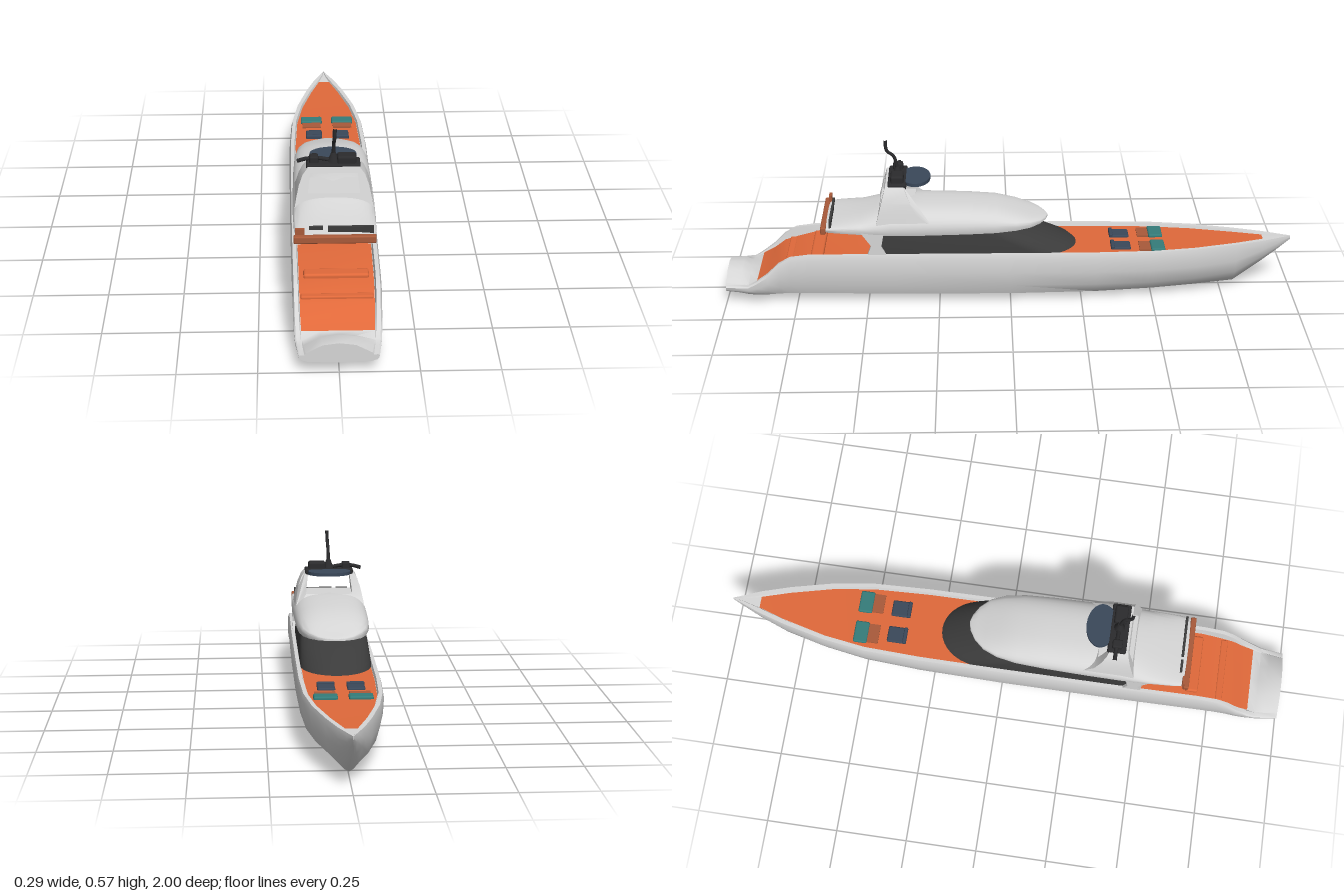
import * as THREE from 'three';
import { toCreasedNormals } from 'three/addons/utils/BufferGeometryUtils.js';
import { RoundedBoxGeometry } from 'three/addons/geometries/RoundedBoxGeometry.js';

const mat = (name, color, side = THREE.FrontSide) => {
  const m = new THREE.MeshStandardMaterial({ color, side });
  m.name = name;
  return m;
};
const lerp = THREE.MathUtils.lerp;
const vectors = points => points.map(p => new THREE.Vector2(...p));

// Skin a list of rings [[x,y,z],...]; rings run counter-clockwise seen from the first ring's side
function loft(rings, closed = true) {
  const n = rings[0].length, pos = rings.flat(2), idx = [];
  const last = closed ? n : n - 1;
  for (let i = 0; i < rings.length - 1; i++) {
    for (let j = 0; j < last; j++) {
      const k = (j + 1) % n, a = i * n, b = a + n;
      idx.push(a + j, b + j, a + k, b + j, b + k, a + k);
    }
  }
  if (closed) {
    [0, rings.length - 1].forEach((r, end) => {
      const c = pos.length / 3;
      for (let d = 0; d < 3; d++) pos.push(rings[r].reduce((s, p) => s + p[d], 0) / n);
      for (let j = 0; j < n; j++) {
        const p = r * n + j, q = r * n + (j + 1) % n;
        idx.push(c, end ? q : p, end ? p : q);
      }
    });
  }
  const g = new THREE.BufferGeometry();
  g.setAttribute('position', new THREE.Float32BufferAttribute(pos, 3));
  g.setIndex(idx);
  return toCreasedNormals(g, .7);
}

// Hull stations: z, half width, keel, sheer, deck, deck crown, chine width
const stations = [
  [1, .125, .035, .062, .068, .035, .8], [.95, .131, .03, .064, .068, .035, .84],
  [.92, .135, .025, .066, .066, .02, .86], [.89, .138, .021, .085, .08, 0, .87],
  [.85, .14, .018, .115, .1, 0, .87], [.81, .141, .016, .155, .13, 0, .87],
  [.77, .142, .014, .178, .142, 0, .87], [.7, .143, .012, .187, .16, 0, .87],
  [.4, .145, .007, .187, .17, 0, .87], [0, .145, .002, .186, .172, 0, .85],
  [-.3, .143, 0, .185, .172, 0, .76], [-.5, .135, 0, .185, .172, 0, .64],
  [-.65, .113, .002, .185, .173, 0, .5], [-.8, .075, .012, .185, .175, 0, .36],
  [-.9, .043, .088, .185, .178, 0, .36], [-.96, .018, .137, .185, .181, 0, .4],
  [-1, .001, .172, .185, .184, 0, .5]];
const innerWidth = w => Math.max(w - .022, w * .3);

function hullRing([z, w, b, s, d, crown, c]) {
  const h = s - b, iw = innerWidth(w);
  const half = [
    [c * w * .55, b + .05 * h], [c * w, b + .14 * h], [w * lerp(c, 1, .7), b + .35 * h],
    [w * lerp(c, 1, .92), b + .62 * h], [w * .995, s - .1 * h], [w * .96, s],
    [lerp(iw, w, .15), s], [iw, d], [iw * .5, d + crown * .8]];
  const left = half.map(([x, y]) => [x, y, z]);
  const right = half.map(([x, y]) => [-x, y, z]).reverse();
  return [[0, b, z], ...left, [0, d + crown, z], ...right];
}

// Plan outline with a rounded front and square rear
function cabinRing(y, hw, front, rear, length) {
  const ring = [];
  for (let i = 0; i <= 20; i++) {
    const t = Math.PI * (1 + i / 20);
    ring.push([hw * Math.cos(t), y, front + length * (1 + Math.sin(t))]);
  }
  ring.push([hw, y, rear], [-hw, y, rear]);
  return ring;
}

// Flat-bottomed dome section
function roofRing([z, hw, yb, yt]) {
  const lip = Math.min(.014, (yt - yb) * .5), ring = [[-hw * .97, yb, z], [hw * .97, yb, z]];
  for (let i = 0; i <= 18; i++) {
    const t = Math.PI * i / 18, c = Math.cos(t), s = Math.max(0, Math.sin(t));
    ring.push([hw * Math.sign(c) * Math.abs(c) ** .75, yb + lip + (yt - yb - lip) * s ** .8, z]);
  }
  return ring;
}

export function createModel() {
  const white = mat('hullWhite', 0xd6d6d6), orange = mat('deckOrange', 0xe0693a, THREE.DoubleSide);
  const glass = mat('darkGlass', 0x3b3b3b), black = mat('mastBlack', 0x2b2b2d);
  const navy = mat('navy', 0x3a485a), teal = mat('teal', 0x357c7a), brown = mat('brown', 0xa85a3a);

  const yacht = new THREE.Group();
  yacht.name = 'yacht';
  const add = (name, geo, m) => {
    const mesh = new THREE.Mesh(geo, m);
    mesh.name = name;
    yacht.add(mesh);
  };
  // Box given by its minimum and maximum corners
  const box = (name, [x0, y0, z0], [x1, y1, z1], m, round = 0) => {
    const s = [x1 - x0, y1 - y0, z1 - z0];
    const g = round ? new RoundedBoxGeometry(...s, 2, round) : new THREE.BoxGeometry(...s);
    add(name, g.translate((x0 + x1) / 2, (y0 + y1) / 2, (z0 + z1) / 2), m);
  };

  // Hull with stern platform, and the deck covering
  add('hull', loft(stations.map(hullRing)), white);
  const deck = stations.slice(3, 15).map(([z, w, , , d]) => {
    const x = innerWidth(w) * .99;
    return [[x, d + .002, z], [-x, d + .002, z]];
  });
  add('deck', loft(deck, false), orange);
  box('aftBench', [-.105, .14, .655], [.105, .176, .7], orange, .008);
  box('deckStep', [-.115, .12, .765], [.115, .147, .79], orange, .005);

  // Glazed cabin
  add('cabinGlass', loft([
    cabinRing(.165, .124, -.245, .44, .15), cabinRing(.19, .124, -.215, .445, .15),
    cabinRing(.235, .12, -.1, .455, .13), cabinRing(.275, .114, 0, .46, .1)]), glass);
  for (const s of [-1, 1]) {
    const fin = new THREE.Shape(vectors(
      [[-.5, .18], [-.43, .18], [-.45, .215], [-.44, .27], [-.52, .27], [-.485, .22]]));
    const g = new THREE.ExtrudeGeometry(fin, { depth: .022, bevelEnabled: false });
    g.rotateY(Math.PI / 2).translate(s * .122 - .011, 0, 0);
    add('cabinFin', g, white);
  }

  // Domed roof
  add('roof', loft([
    [.65, .127, .271, .288], [.6, .132, .268, .296], [.52, .135, .263, .308], [.47, .136, .26, .326],
    [.42, .136, .258, .341], [.3, .135, .258, .345], [.15, .132, .26, .34], [.05, .127, .262, .332],
    [-.02, .115, .265, .314], [-.07, .094, .267, .297], [-.105, .063, .269, .286],
    [-.125, .03, .271, .281], [-.132, .005, .273, .278]].map(roofRing)), white);

  // Trim and screens on the aft roof edge
  box('aftTrim', [-.135, .264, .64], [.13, .29, .66], brown, .005);
  box('aftScreen', [-.025, .282, .622], [.122, .311, .63], glass);
  box('aftScreenSmall', [-.085, .3, .622], [-.04, .311, .63], glass);
  box('aftPost', [-.13, .285, .635], [-.1, .31, .645], brown);

  // Mast arch, raked fore and aft by height
  const arch = new THREE.Shape(vectors([[-.131, .29], [.131, .29], [.124, .33], [.115, .37], [.102, .405],
    [.086, .425], [-.086, .425], [-.102, .405], [-.115, .37], [-.124, .33]]));
  arch.holes.push(new THREE.Path(vectors(
    [[-.086, .343], [-.083, .37], [-.078, .408], [.078, .408], [.083, .37], [.086, .343]])));
  const archGeo = new THREE.ExtrudeGeometry(arch, { depth: 1, bevelEnabled: false });
  const p = archGeo.attributes.position;
  for (let i = 0; i < p.count; i++) {
    const u = THREE.MathUtils.clamp((p.getY(i) - .29) / .135, 0, 1);
    p.setZ(i, lerp(lerp(.27, .37, Math.sqrt(u)), .468 - .035 * u, p.getZ(i)));
  }
  add('mastArch', toCreasedNormals(archGeo, .6), white);

  // Equipment on top of the arch
  const disc = new THREE.CylinderGeometry(1, 1, .012, 32).scale(.078, 1, .052).translate(0, .425, .33);
  add('topDisc', disc, navy);
  box('topPlatform', [-.09, .412, .36], [.088, .432, .425], black, .006);
  box('equipmentBox', [.012, .425, .37], [.075, .456, .415], black, .008);
  box('equipmentBoxSmall', [-.08, .425, .375], [-.05, .454, .41], black, .006);
  const tube = (name, pts, r) => add(name, new THREE.TubeGeometry(
    new THREE.CatmullRomCurve3(pts.map(q => new THREE.Vector3(...q))), 16, r, 8), black);
  tube('radarBar', [[-.12, .432, .39], [-.09, .44, .39], [-.05, .442, .39], [.01, .43, .39]], .007);
  tube('mast', [[0, .42, .39], [0, .47, .395], [.001, .505, .405], [.002, .525, .428], [.004, .565, .432]], .006);
  add('mastFoot', new THREE.CylinderGeometry(.007, .022, .04, 12).translate(0, .445, .392), black);

  // Foredeck lounge
  for (const s of [-1, 1]) {
    const x = s * .058;
    box('sofa', [x - .04, .165, -.545], [x + .04, .184, -.495], teal, .006);
    box('sofaFront', [x - .035, .165, -.495], [x + .035, .179, -.455], brown);
    const c = s * .05;
    box('chairSeat', [c - .03, .165, -.425], [c + .03, .181, -.355], navy, .006);
    box('chairBack', [c - .03, .165, -.368], [c + .03, .187, -.355], navy, .004);
  }
  return yacht;
}
